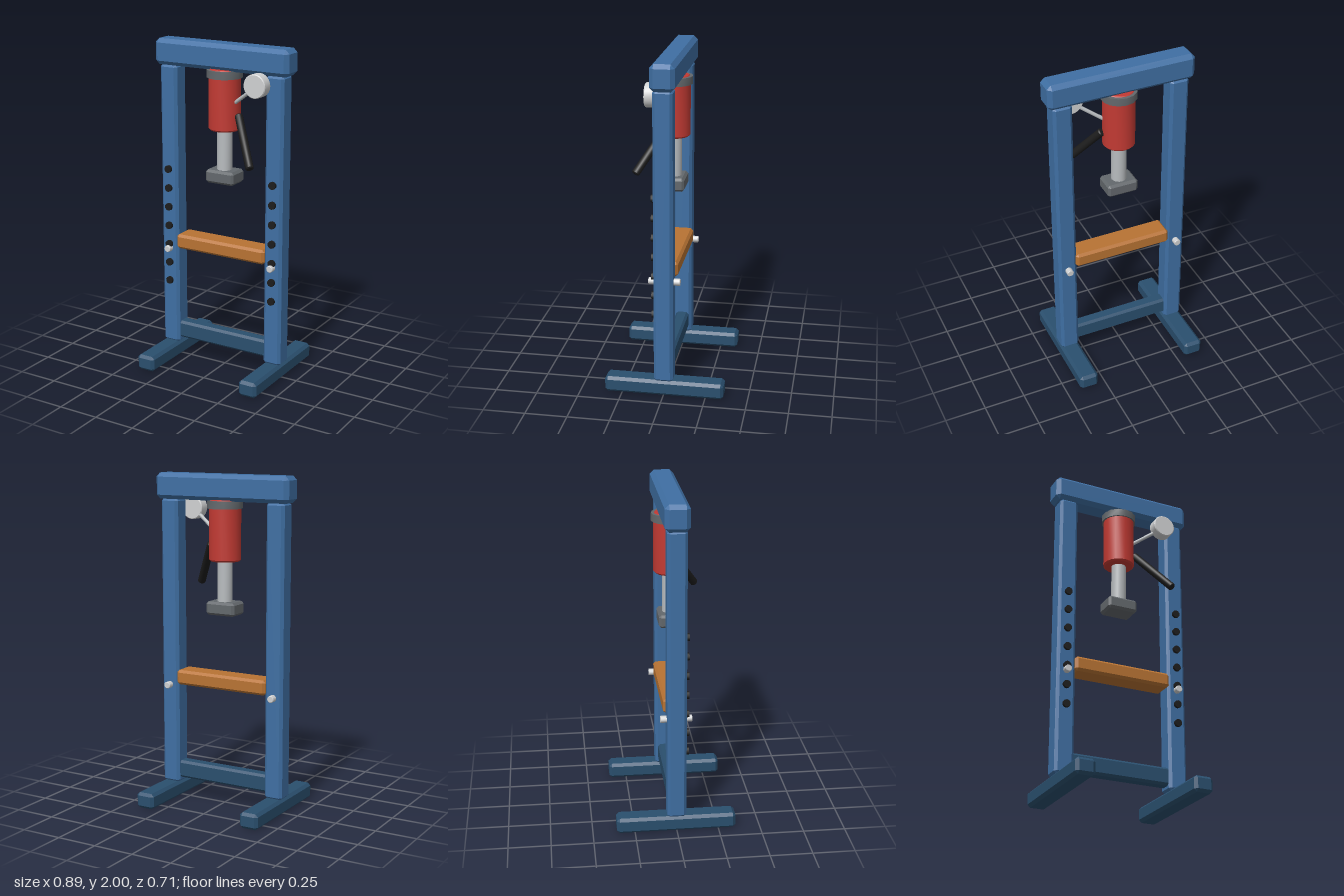
import * as THREE from 'three';
import { toCreasedNormals } from 'three/addons/utils/BufferGeometryUtils.js';
import { ConvexGeometry } from 'three/addons/geometries/ConvexGeometry.js';

const paint = (name, color) => {
  const m = new THREE.MeshStandardMaterial({ color });
  m.name = name;
  return m;
};

// Box with every edge cut by a flat chamfer
function chamferBox(w, h, d, c) {
  const points = [];
  for (const sx of [-1, 1]) for (const sy of [-1, 1]) for (const sz of [-1, 1]) {
    const x = w / 2, y = h / 2, z = d / 2;
    points.push(
      new THREE.Vector3(sx * x, sy * (y - c), sz * (z - c)),
      new THREE.Vector3(sx * (x - c), sy * y, sz * (z - c)),
      new THREE.Vector3(sx * (x - c), sy * (y - c), sz * z));
  }
  return new ConvexGeometry(points);
}

// Cylinder along y with chamfered rims
function chamferCylinder(r, h, c, sides) {
  const profile = [[0, -h / 2], [r - c, -h / 2], [r, -h / 2 + c], [r, h / 2 - c], [r - c, h / 2], [0, h / 2]]
    .map(([x, y]) => new THREE.Vector2(x, y));
  return toCreasedNormals(new THREE.LatheGeometry(profile, sides), 0.6);
}

export function createModel() {
  const press = new THREE.Group();
  press.name = 'shopPress';

  const frameBlue = paint('frameBlue', 0x3f6fa3);
  const baseBlue = paint('baseBlue', 0x2a4f6e);
  const jackRed = paint('jackRed', 0xc23a33);
  const darkSteel = paint('darkSteel', 0x63686c);
  const steel = paint('steel', 0xb8bcbf);
  const paleSteel = paint('paleSteel', 0xd0d1d2);
  const bedOrange = paint('bedOrange', 0xb87333);
  const black = paint('black', 0x1c1c1c);

  const add = (name, geometry, material, x, y, z) => {
    const mesh = new THREE.Mesh(geometry, material);
    mesh.name = name;
    mesh.position.set(x, y, z);
    press.add(mesh);
    return mesh;
  };
  // Round bar between two points
  const bar = (name, a, b, r, c, material) => {
    const from = new THREE.Vector3(...a), to = new THREE.Vector3(...b);
    const dir = to.clone().sub(from);
    const mid = from.clone().add(to).multiplyScalar(0.5);
    const mesh = add(name, chamferCylinder(r, dir.length(), c, 12), material, mid.x, mid.y, mid.z);
    mesh.quaternion.setFromUnitVectors(new THREE.Vector3(0, 1, 0), dir.normalize());
  };

  // Frame
  const cx = -0.002;
  add('topBeam', chamferBox(0.89, 0.155, 0.142, 0.024), frameBlue, cx, 1.9225, -0.002);
  add('lowerCrossbar', chamferBox(0.63, 0.108, 0.08, 0.014), baseBlue, cx, 0.176, 0);
  for (const side of [-1, 1]) {
    const x = cx + side * 0.357;
    const label = side > 0 ? 'left' : 'right';
    add(label + 'Post', chamferBox(0.115, 1.76, 0.114, 0.016), frameBlue, x, 0.97, 0);
    add(label + 'Foot', chamferBox(0.117, 0.096, 0.711, 0.017), baseBlue, x, 0.048, -0.002);
    // Adjustment holes on the front of the post
    for (let i = 0; i < 7; i++) {
      const hole = add(label + 'Hole', new THREE.CylinderGeometry(0.023, 0.023, 0.03, 10), black,
        x, 0.503 + i * 0.1187, 0.059);
      hole.rotation.x = Math.PI / 2;
    }
    // Pin carrying the bed
    bar(label + 'Pin', [x, 0.713, -0.094], [x, 0.713, 0.092], 0.021, 0.003, paleSteel);
  }

  // Work bed
  add('bed', chamferBox(0.61, 0.09, 0.14, 0.015), bedOrange, cx, 0.766, 0);

  // Hydraulic jack
  add('jackBody', chamferCylinder(0.095, 0.36, 0.01, 20), jackRed, cx, 1.671, 0);
  add('jackCollar', toCreasedNormals(new THREE.CylinderGeometry(0.106, 0.106, 0.046, 14), 0.6), darkSteel, cx, 1.824, -0.002);
  add('ram', toCreasedNormals(new THREE.CylinderGeometry(0.045, 0.045, 0.28, 20), 0.6), steel, cx, 1.37, 0);
  add('ramFoot', chamferBox(0.19, 0.08, 0.14, 0.014), darkSteel, cx, 1.211, 0);

  // Pump handle
  bar('pumpHandle', [0.098, 1.59, 0.01], [0.272, 1.328, 0.182], 0.024, 0.006, black);

  // Pressure gauge and its stem
  bar('gaugeStem', [0.07, 1.655, 0.02], [0.25, 1.78, 0.075], 0.011, 0.001, steel);
  const gauge = add('gauge', chamferCylinder(0.07, 0.068, 0.005, 24), paleSteel, 0.26, 1.79, 0.086);
  gauge.rotation.x = Math.PI / 2;

  return press;
}
